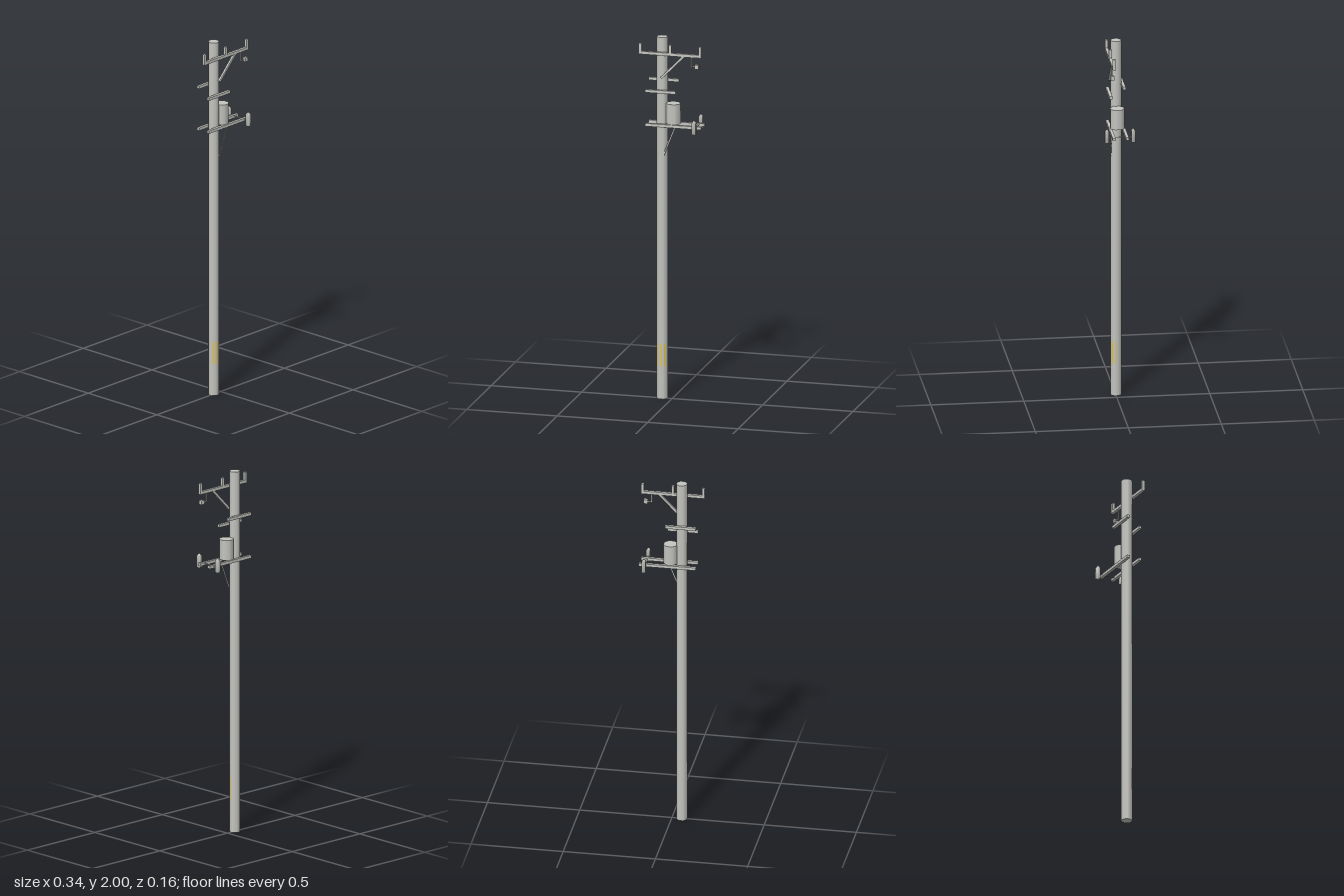
import * as THREE from 'three';

const POLE_X = -0.054, POLE_Z = -0.0015, APOTHEM = 0.028;
const FRONT_Z = 0.0355, BACK_Z = -0.0365;

export function createModel() {
  const model = new THREE.Group();
  model.name = 'utilityPole';
  const grey = new THREE.MeshStandardMaterial({ color: 0xc4c5c0 });
  grey.name = 'weathered grey';
  const yellow = new THREE.MeshStandardMaterial({ color: 0xd9bf62 });
  yellow.name = 'warning yellow';

  const add = (name, geometry, x, y, z, material = grey) => {
    const mesh = new THREE.Mesh(geometry, material);
    mesh.name = name;
    mesh.position.set(x, y, z);
    model.add(mesh);
    return mesh;
  };
  // Box given by its extents on each axis
  const box = (name, x0, x1, y0, y1, z0, z1) =>
    add(name, new THREE.BoxGeometry(x1 - x0, y1 - y0, z1 - z0),
      (x0 + x1) / 2, (y0 + y1) / 2, (z0 + z1) / 2);
  // Eight-sided upright cylinder with flats facing the axes
  const octagon = (name, apothem, y0, y1, x, z) => {
    const r = apothem / Math.cos(Math.PI / 8);
    const g = new THREE.CylinderGeometry(r, r, y1 - y0, 8).rotateY(Math.PI / 8);
    return add(name, g, x, (y0 + y1) / 2, z);
  };
  // Horizontal arm along x
  const arm = (name, x0, x1, y, z) =>
    box(name, x0, x1, y - 0.008, y + 0.008, z - 0.008, z + 0.008);
  // Sloping strut between two points in the xy plane
  const strut = (name, x0, y0, x1, y1, z, width, depth) => {
    const g = new THREE.BoxGeometry(width, Math.hypot(x1 - x0, y1 - y0), depth);
    add(name, g, (x0 + x1) / 2, (y0 + y1) / 2, z).rotation.z = -Math.atan2(x1 - x0, y1 - y0);
  };

  // Pole and transformer tank
  octagon('pole', APOTHEM, 0, 2, POLE_X, POLE_Z);
  octagon('transformerTank', 0.037, 1.524, 1.635, 0.007, -0.001);

  // Top crossarm with three upright pins and a brace
  arm('topCrossarm', -0.173, 0.172, 1.913, FRONT_Z);
  for (const x of [-0.165, 0, 0.164])
    box('topPin', x - 0.0075, x + 0.0075, 1.921, 1.965, FRONT_Z - 0.008, FRONT_Z + 0.008);
  strut('topBrace', -0.05, 1.78, 0.075, 1.908, FRONT_Z, 0.012, 0.012);

  // Small fitting hanging from the top crossarm
  box('hangerRod', 0.113, 0.119, 1.853, 1.905, 0.037, 0.043);
  box('hangerFoot', 0.119, 0.138, 1.853, 1.859, 0.037, 0.043);
  box('hangerBlock', 0.138, 0.159, 1.845, 1.868, 0.032, 0.052);

  // Short middle arms, one on each side of the pole
  arm('middleArmBack', -0.137, 0.03, 1.753, BACK_Z);
  arm('middleArmFront', -0.137, 0.03, 1.703, FRONT_Z);

  // Paired lower arms with a flat brace against the front of the pole
  for (const z of [FRONT_Z, BACK_Z]) arm('lowerArm', -0.137, 0.172, 1.516, z);
  strut('lowerBrace', -0.039, 1.352, 0.026, 1.515, 0.0275, 0.008, 0.002);

  // Flat cross strip carrying two pointed square insulators
  box('insulatorStrip', 0.136, 0.144, 1.517, 1.519, -0.07, 0.07);
  const profile = [[0, 0], [0.0147, 0], [0.0147, 0.064], [0.004, 0.077], [0, 0.077]]
    .map(([r, y]) => new THREE.Vector2(r, y));
  const insulator = new THREE.LatheGeometry(profile, 4).rotateY(Math.PI / 4);
  for (const z of [0.0705, -0.0705]) add('insulator', insulator, 0.14, 1.488, z);

  // Warning stripes down the middle of the pole faces: face, width, sideways shift
  for (const [face, width, shift] of [[-1, 0.011, 0], [0, 0.012, 0], [1, 0.012, 0], [2, 0.006, -0.003]]) {
    const angle = face * Math.PI / 4;
    const stripe = new THREE.PlaneGeometry(width, 0.125).translate(shift, 0, APOTHEM + 0.001);
    add('warningStripe', stripe, POLE_X, 0.243, POLE_Z, yellow).rotation.y = angle;
  }
  return model;
}
